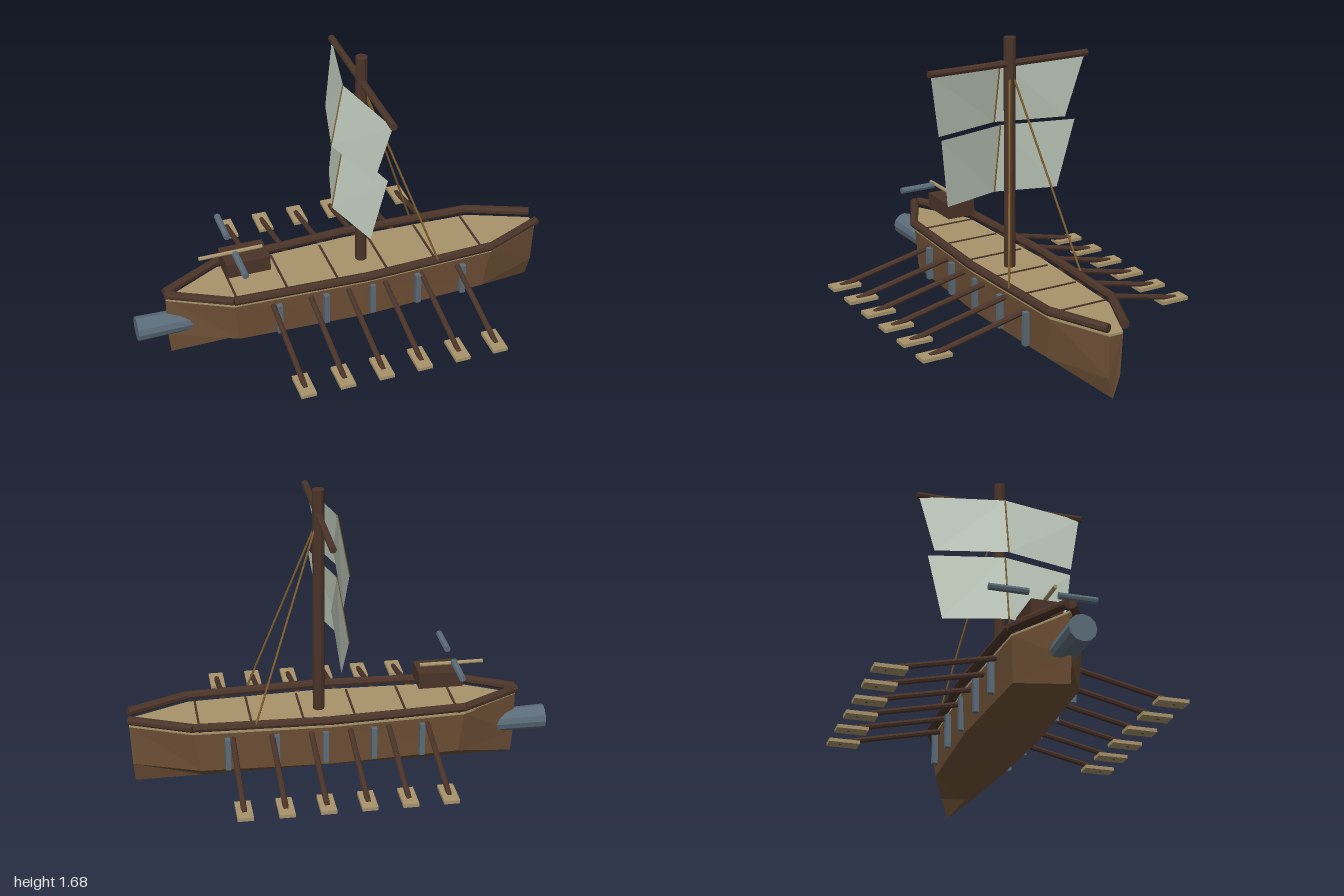
import * as THREE from 'three';

const mat = (name, color, extra = {}) =>
  Object.assign(new THREE.MeshStandardMaterial({ color, flatShading: true, ...extra }), { name });

export function createModel() {
  const hullWood = mat('hull wood', 0x6e5036);
  const darkWood = mat('dark wood', 0x4b3429);
  const plankWood = mat('pale planks', 0xa8946c);
  const steel = mat('steel', 0x5b6c79);
  const canvas = mat('sailcloth', 0xc4cfc1, { side: THREE.DoubleSide });
  const rope = mat('rope', 0x80602f);

  const model = new THREE.Group();
  model.name = 'galley';
  // The ship is built with its bow along +z, then turned to lie diagonally.
  const ship = new THREE.Group();
  ship.name = 'ship';
  ship.rotation.y = -Math.PI / 4;
  model.add(ship);

  const add = (name, geo, material, x = 0, y = 0, z = 0) => {
    const m = new THREE.Mesh(geo, material);
    m.name = name;
    m.position.set(x, y, z);
    ship.add(m);
    return m;
  };
  const box = (name, w, h, d, material, x, y, z) =>
    add(name, new THREE.BoxGeometry(w, h, d), material, x, y, z);
  // Round bar between two points
  const bar = (name, a, b, r, material, sides = 8, rEnd = r) => {
    const p = new THREE.Vector3(...a), q = new THREE.Vector3(...b);
    const d = q.clone().sub(p);
    const m = add(name, new THREE.CylinderGeometry(rEnd, r, d.length(), sides), material);
    m.position.copy(p).addScaledVector(d, 0.5);
    m.quaternion.setFromUnitVectors(new THREE.Vector3(0, 1, 0), d.normalize());
    return m;
  };

  // Hull stations: [top z, top half width, chine z, chine half width, keel z]
  const stations = [
    [1.1, 0.003, 1.1, 0.003, 1.09],
    [0.76, 0.185, 0.735, 0.172, 0.7],
    [0, 0.215, 0, 0.205, 0],
    [-0.76, 0.185, -0.72, 0.172, -0.7],
    [-1.1, 0.04, -1.09, 0.035, -1.08],
  ];
  const rings = stations.map(([tz, tw, cz, cw, kz]) => [
    [-tw, 0.37, tz], [-cw, 0.125, cz], [0, 0, kz], [cw, 0.125, cz], [tw, 0.37, tz],
  ]);
  const verts = [];
  const tri = (...pts) => pts.forEach((p) => verts.push(...p));
  for (let i = 0; i < rings.length - 1; i++) {
    for (let j = 0; j < 4; j++) {
      const a = rings[i][j], b = rings[i][j + 1], c = rings[i + 1][j], d = rings[i + 1][j + 1];
      tri(a, c, b);
      tri(b, c, d);
    }
  }
  const first = rings[0], last = rings[4];
  for (let j = 1; j < 4; j++) {
    tri(first[0], first[j], first[j + 1]);
    tri(last[0], last[j + 1], last[j]);
  }
  const hullGeo = new THREE.BufferGeometry();
  hullGeo.setAttribute('position', new THREE.Float32BufferAttribute(verts, 3));
  hullGeo.computeVertexNormals();
  add('hull', hullGeo, hullWood);

  // Deck and its plank seams
  const outline = [
    ...stations.map((s) => new THREE.Vector2(s[1], s[0])),
    ...stations.map((s) => new THREE.Vector2(-s[1], s[0])).reverse(),
  ];
  const deckGeo = new THREE.ExtrudeGeometry(new THREE.Shape(outline), { depth: 0.012, bevelEnabled: false });
  deckGeo.rotateX(Math.PI / 2);
  add('deck', deckGeo, plankWood, 0, 0.374, 0);
  for (let i = 0; i < 6; i++) {
    box('deckSeam', 0.37, 0.008, 0.012, darkWood, 0, 0.375, -0.72 + i * 0.29);
  }

  // Rails, oars and side posts on both sides
  const railPath = [[0.012, 1.1], [0.19, 0.76], [0.225, 0], [0.195, -0.76], [0.05, -1.1]];
  for (const s of [1, -1]) {
    for (let i = 0; i < 4; i++) {
      const [x0, z0] = railPath[i], [x1, z1] = railPath[i + 1];
      bar('rail', [s * x0, 0.41, z0], [s * x1, 0.41, z1], 0.025, darkWood);
    }
    for (let i = 0; i < 6; i++) {
      const z = (i - 2.5) * 0.218;
      bar('oarShaft', [s * 0.2, 0.332, z], [s * 0.77, 0.205, z], 0.016, darkWood);
      box('oarBlade', 0.17, 0.02, 0.085, plankWood, s * 0.745, 0.203, z);
    }
    for (let i = 0; i < 5; i++) {
      box('sidePost', 0.03, 0.19, 0.03, steel, s * 0.217, 0.245, -0.03 + (i - 2) * 0.272);
    }
  }

  // Ram at the bow
  bar('ram', [0, 0.205, 0.85], [0, 0.21, 1.275], 0.062, steel, 12, 0.07);

  // Mast, yard and stays
  const mastZ = -0.037;
  bar('mast', [0, 0.36, mastZ], [0, 1.68, mastZ], 0.033, darkWood, 10);
  bar('yard', [-0.49, 1.535, mastZ], [0.49, 1.535, mastZ], 0.02, darkWood);
  for (const s of [1, -1]) {
    bar('stay', [0, 1.52, mastZ], [s * 0.226, 0.42, -0.417], 0.006, rope, 6);
  }

  // Two sail tiers, each creased down the middle and swelling toward the bow
  const tiers = [
    { top: 1.527, bottom: 1.165, wTop: 0.476, wBottom: 0.398 },
    { top: 1.165, bottom: 0.76, wTop: 0.418, wBottom: 0.348 },
  ];
  for (const t of tiers) {
    const geo = new THREE.PlaneGeometry(2, 1, 2, 1);
    const p = geo.attributes.position;
    for (let i = 0; i < p.count; i++) {
      const upper = p.getY(i) > 0;
      const x = p.getX(i);
      const z = (upper ? -0.035 : 0.033) + (Math.abs(x) < 0.5 ? 0.1 : 0);
      p.setXYZ(i, x * (upper ? t.wTop : t.wBottom), upper ? t.top : t.bottom, z);
    }
    const flat = geo.toNonIndexed();
    flat.computeVertexNormals();
    add('sail', flat, canvas);
    bar('sailCord', [0, t.top, 0.065], [0, t.bottom, 0.133], 0.005, rope, 6);
  }

  // Bolt thrower over the foredeck
  box('throwerBody', 0.17, 0.09, 0.25, darkWood, 0, 0.535, 0.643);
  bar('throwerBolt', [0, 0.597, 0.54], [0, 0.597, 0.9], 0.011, plankWood);
  for (const s of [1, -1]) {
    bar('throwerArm', [s * 0.08, 0.643, 0.714], [s * 0.29, 0.643, 0.714], 0.019, steel);
  }

  return model;
}
